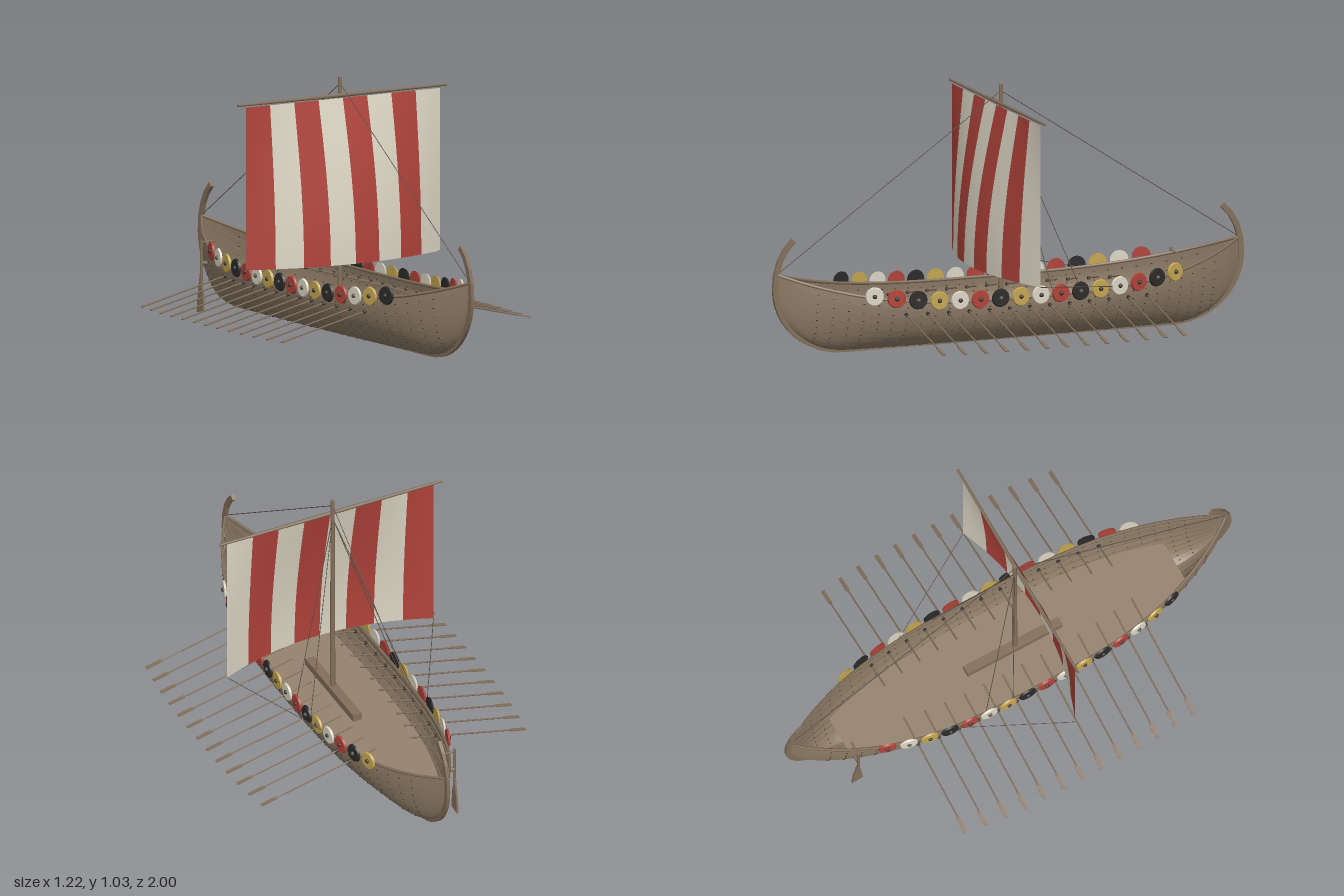
import * as THREE from 'three';
import { mergeGeometries } from 'three/addons/utils/BufferGeometryUtils.js';

const mat = (name, color, side = THREE.FrontSide) => {
  const m = new THREE.MeshStandardMaterial({ color, side });
  m.name = name;
  return m;
};

// Hull lines: half beam, sheer height and bottom height at a station z
const END = 0.98;
const beam = z => 0.222 * Math.max(0, 1 - Math.abs(z / END) ** 3);
const sheer = z => 0.225 + 0.123 * Math.abs(z / END) ** 3;
const bottom = z => {
  const d = Math.max(0, (Math.abs(z) - 0.7) / (END - 0.7));
  return 0.29 - 0.257 * Math.sqrt(Math.max(0, 1 - d * d));
};
// Point on the hull section at angle a (0 = keel, PI/2 = gunwale), pushed out by off
function hullPoint(z, a, off, s) {
  const k = off * Math.min(1, beam(z) / 0.06);
  const x = beam(z) * Math.sin(a) ** 0.93 + k * Math.sin(a);
  const y = sheer(z) - (sheer(z) - bottom(z)) * Math.cos(a) - k * Math.cos(a);
  return new THREE.Vector3(s * x, y, z);
}

// Smooth grid surface from a function of u and v in 0..1
function grid(fn, nu, nv) {
  const pos = [], idx = [];
  for (let j = 0; j <= nv; j++)
    for (let i = 0; i <= nu; i++) pos.push(...fn(i / nu, j / nv).toArray());
  for (let j = 0; j < nv; j++)
    for (let i = 0; i < nu; i++) {
      const a = j * (nu + 1) + i, b = a + 1, c = a + nu + 1, d = c + 1;
      idx.push(a, b, d, a, d, c);
    }
  const g = new THREE.BufferGeometry();
  g.setAttribute('position', new THREE.Float32BufferAttribute(pos, 3));
  g.setIndex(idx);
  g.computeVertexNormals();
  return g;
}

export function createModel() {
  const ship = new THREE.Group();
  ship.name = 'longship';
  const planks = mat('hull wood', 0x8b7964, THREE.DoubleSide);
  const deckWood = mat('deck wood', 0x95836e, THREE.DoubleSide);
  const timber = mat('timber', 0x826f5a);
  const rope = mat('rope', 0x5a5146);
  const iron = mat('dark iron', 0x3a3632);
  const cream = mat('cream', 0xdcd6c4, THREE.DoubleSide);
  const red = mat('red', 0xb0433a, THREE.DoubleSide);
  const black = mat('black paint', 0x2c2b2a);
  const gold = mat('ochre', 0xc4a650);

  const add = (name, geo, material, parent = ship) => {
    const m = new THREE.Mesh(geo, material);
    m.name = name;
    parent.add(m);
    return m;
  };
  const V = (x, y, z) => new THREE.Vector3(x, y, z);
  // Round bar between two points
  const bar = (a, b, r0, r1 = r0, sides = 8) => {
    const d = b.clone().sub(a);
    const g = new THREE.CylinderGeometry(r1, r0, d.length(), sides);
    g.applyQuaternion(new THREE.Quaternion().setFromUnitVectors(V(0, 1, 0), d.clone().normalize()));
    return g.translate(...a.clone().add(b).multiplyScalar(0.5).toArray());
  };

  // Lapped planking with rivets along the laps
  const STRAKES = 10, skin = [], rivets = [];
  const station = u => END * Math.sin((u - 0.5) * Math.PI);
  for (const s of [-1, 1]) {
    for (let k = 0; k < STRAKES; k++) {
      const a0 = k / STRAKES * Math.PI / 2, da = Math.PI / 2 / STRAKES;
      skin.push(grid((u, v) => hullPoint(station(u), a0 + da * v, 0.004 * (1 - v), s), 64, 2));
      if (k === 0) continue;
      skin.push(grid((u, v) => hullPoint(station(u), a0, 0.004 * v, s), 64, 1));
      for (let z = -0.84; z < 0.85; z += 0.056)
        rivets.push(new THREE.BoxGeometry(0.003, 0.003, 0.007)
          .translate(...hullPoint(z, a0 + da * 0.2, 0.0035, s).toArray()));
    }
  }
  add('hullPlanking', mergeGeometries(skin), planks);
  add('rivets', mergeGeometries(rivets), iron);

  // Gunwale rails
  for (const s of [-1, 1]) {
    const pts = [];
    for (let i = 0; i <= 32; i++) pts.push(hullPoint(station(i / 32), Math.PI / 2, 0, s));
    add('gunwale', new THREE.TubeGeometry(new THREE.CatmullRomCurve3(pts), 80, 0.006, 6), timber);
  }

  // Keel running into the curved stem and stern posts
  const half = [];
  for (let i = 0; i <= 12; i++) {
    const a = i / 12 * Math.PI / 2;
    half.push([0.7 + 0.288 * Math.sin(a), 0.29 - 0.26 * Math.cos(a)]);
  }
  half.push([0.984, 0.345], [0.968, 0.4], [0.943, 0.445], [0.91, 0.48]);
  const path = [...half.map(([z, y]) => [-z, y]).reverse(), ...half];
  const edge = w => path.map(([z, y], i) => {
    const p = path[Math.max(0, i - 1)], q = path[Math.min(path.length - 1, i + 1)];
    const l = Math.hypot(q[0] - p[0], q[1] - p[1]);
    return new THREE.Vector2(z + w * (q[1] - p[1]) / l, y - w * (q[0] - p[0]) / l);
  });
  const keelGeo = new THREE.ExtrudeGeometry(
    new THREE.Shape([...edge(0.011), ...edge(-0.011).reverse()]), { depth: 0.014, bevelEnabled: false });
  keelGeo.translate(0, 0, -0.007).rotateY(-Math.PI / 2);
  add('keelAndPosts', keelGeo, timber);

  // Deck following the hull inside
  const DECK = 0.115;
  add('deck', grid((u, v) => {
    const z = (u - 0.5) * 1.5;
    const a = Math.acos((sheer(z) - DECK) / (sheer(z) - bottom(z)));
    return V(hullPoint(z, a, 0, 1).x * (2 * v - 1), DECK, z);
  }, 40, 2).scale(1, 1, 1), deckWood);

  // Mast, its base block and the yard
  add('mastBlock', new THREE.BoxGeometry(0.038, 0.03, 0.425).translate(0, DECK + 0.015, 0.022), timber);
  add('mast', bar(V(0, DECK, 0.03), V(0, 1.035, 0.03), 0.011, 0.008, 12), timber);
  for (const s of [-1, 1])
    add('yard', bar(V(0, 0.965, 0.044), V(s * 0.485, 0.965, 0.044), 0.008, 0.005), timber);

  // Bellied striped sail
  const sail = new THREE.Group();
  sail.name = 'sail';
  ship.add(sail);
  for (let k = 0; k < 8; k++)
    add('sailStripe', grid((u, v) => {
      const x = -0.45 + (k + u) * 0.1125;
      const belly = Math.sin(v * Math.PI / 2) * (1 - (x / 0.45) ** 2);
      return V(x, 0.31 + 0.645 * (1 - v), 0.05 + 0.095 * belly);
    }, 4, 16).toNonIndexed(), k % 2 ? cream : red, sail);
  // Shared smooth normals are kept per stripe

  // Rigging
  const lines = [
    [V(0, 1.01, 0.03), V(0, 0.35, 0.978)],
    [V(0, 1.01, 0.03), V(0, 0.35, -0.978)],
  ];
  for (const s of [-1, 1])
    lines.push(
      [V(0, 0.95, 0.03), V(s * 0.22, 0.235, -0.1)],
      [V(0, 0.95, 0.03), V(s * 0.218, 0.235, -0.22)],
      [V(s * 0.45, 0.31, 0.05), V(s * 0.208, 0.235, -0.38)]);
  add('rigging', mergeGeometries(lines.map(([a, b]) => bar(a, b, 0.0016, 0.0016, 5))), rope);

  // Round shields along both rails
  const paints = [cream, red, black, gold];
  const disc = new THREE.CylinderGeometry(0.034, 0.037, 0.008, 24).rotateZ(-Math.PI / 2);
  const boss = new THREE.SphereGeometry(0.009, 12, 6, 0, Math.PI * 2, 0, Math.PI / 2)
    .rotateZ(-Math.PI / 2).translate(0.004, 0, 0);
  for (const s of [-1, 1])
    for (let i = 0; i < 16; i++) {
      const z = 0.6375 - i * 0.085;
      const shield = new THREE.Group();
      shield.name = 'shield';
      shield.position.set(s * (beam(z) + 0.013), sheer(z) + 0.008, z);
      const slope = Math.atan((beam(z + 0.01) - beam(z - 0.01)) / 0.02);
      shield.rotation.y = s > 0 ? slope : Math.PI - slope;
      add('shieldFace', disc, paints[(i + (s > 0 ? 0 : 2)) % 4], shield);
      add('shieldBoss', boss, i % 4 === 2 ? rope : iron, shield);
      ship.add(shield);
    }

  // Oars through round ports
  for (const s of [-1, 1])
    for (let i = 0; i < 13; i++) {
      const z = (i - 6) * 0.085, b = beam(z);
      const at = d => V(s * (b + d), 0.188 - 0.232 * d, z);
      const oar = new THREE.Group();
      oar.name = 'oar';
      ship.add(oar);
      add('oarShaft', bar(at(-0.115), at(0.33), 0.0035, 0.003, 6), timber, oar);
      const blade = add('oarBlade', new THREE.BoxGeometry(0.068, 0.004, 0.015), timber, oar);
      blade.position.copy(at(0.352));
      blade.rotation.z = -s * Math.atan(0.232);
      add('oarPort', bar(at(-0.012), at(0.007), 0.007, 0.007, 10), iron, oar);
    }

  // Steering oar on the stern quarter, with tiller
  const rudder = new THREE.Group();
  rudder.name = 'steeringOar';
  rudder.position.set(-0.146, 0, -0.752);
  ship.add(rudder);
  add('rudderShaft', bar(V(0, 0.1, 0), V(0, 0.295, 0), 0.006), timber, rudder);
  const bladeShape = new THREE.Shape([[-0.006, 0.16], [0.012, 0.09], [0.018, 0.012], [-0.03, 0.004],
    [-0.022, 0.08], [-0.006, 0.16]].map(p => new THREE.Vector2(-p[0], p[1])));
  const bladeGeo = new THREE.ExtrudeGeometry(bladeShape, { depth: 0.008, bevelEnabled: false });
  add('rudderBlade', bladeGeo.translate(0, 0, -0.004).rotateY(Math.PI / 2), timber, rudder);
  add('tiller', bar(V(-0.004, 0.284, 0), V(0.06, 0.284, 0), 0.004), timber, rudder);
  add('rudderMount', bar(V(0, 0.2, 0), V(0.045, 0.2, 0), 0.008), timber, rudder);
  return ship;
}
